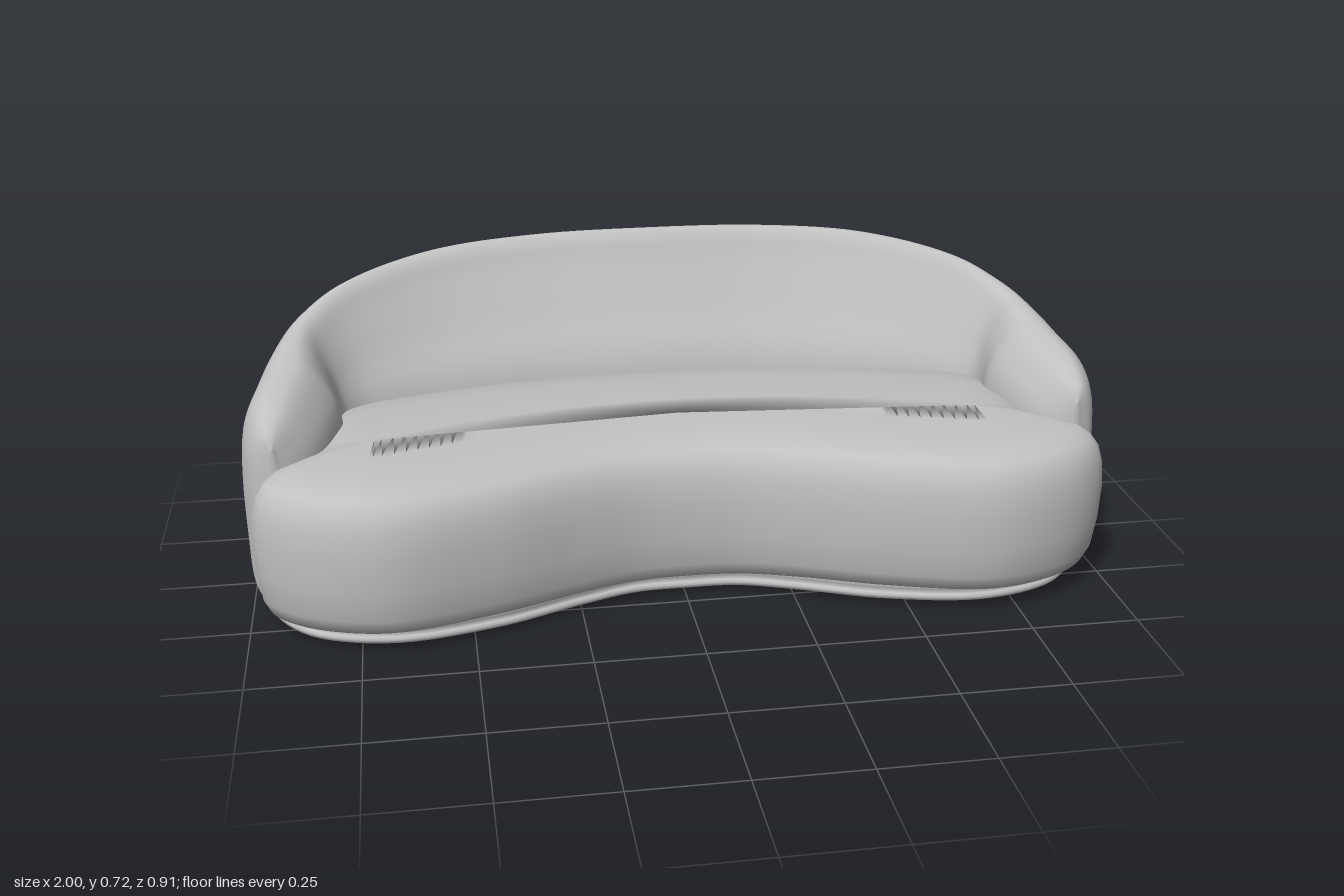
import * as THREE from 'three';

const fabric = new THREE.MeshStandardMaterial({ color: 0xc0c0c0 });
fabric.name = 'light grey fabric';

const V = (x, y, z) => new THREE.Vector3(x, y, z);

// Skin a list of closed rings, cap both ends, and turn all faces outward.
function loft(rings) {
  const n = rings[0].length;
  const pos = [];
  const idx = [];
  for (const ring of rings) for (const p of ring) pos.push(p.x, p.y, p.z);
  for (let r = 0; r < rings.length - 1; r++) {
    for (let i = 0; i < n; i++) {
      const a = r * n + i, b = r * n + (i + 1) % n;
      idx.push(a, b, b + n, a, b + n, a + n);
    }
  }
  [0, rings.length - 1].forEach((r, end) => {
    const c = V(0, 0, 0);
    rings[r].forEach((p) => c.addScaledVector(p, 1 / n));
    const centre = pos.length / 3;
    pos.push(c.x, c.y, c.z);
    for (let i = 0; i < n; i++) {
      const a = r * n + i, b = r * n + (i + 1) % n;
      if (end) idx.push(a, b, centre); else idx.push(b, a, centre);
    }
  });
  // A negative enclosed volume means the winding is inside out
  const at = (i) => V(pos[3 * i], pos[3 * i + 1], pos[3 * i + 2]);
  let volume = 0;
  for (let i = 0; i < idx.length; i += 3) {
    volume += at(idx[i]).dot(at(idx[i + 1]).cross(at(idx[i + 2])));
  }
  if (volume < 0) idx.reverse();
  const g = new THREE.BufferGeometry();
  g.setAttribute('position', new THREE.Float32BufferAttribute(pos, 3));
  g.setIndex(idx);
  g.computeVertexNormals();
  return g;
}

function addPart(group, name, geometry) {
  const mesh = new THREE.Mesh(geometry, fabric);
  mesh.name = name;
  group.add(mesh);
}

// Kidney-shaped solid: half outline [x, z] from front centre to back centre,
// profile rows [height, inset, blend towards the curved spine].
function kidney(half, profile) {
  const mirrored = half.slice(1, -1).reverse().map(([x, z]) => [-x, z]);
  const curve = new THREE.CatmullRomCurve3(
    [...half, ...mirrored].map(([x, z]) => V(x, 0, z)), true);
  const outline = curve.getSpacedPoints(180).slice(0, -1);
  return loft(profile.map(([y, inset, blend = 0]) => outline.map((p) => {
    const sx = THREE.MathUtils.clamp(p.x, -0.7, 0.7);
    const spine = V(sx, 0, 0.3 * sx * sx);
    const dir = spine.clone().sub(p).normalize();
    const q = p.clone().addScaledVector(dir, inset).lerp(spine, blend);
    q.y = y;
    return q;
  })));
}

// Wraparound back: stations of [outer x, outer z, inner x, inner z, top height, arm amount]
function backrest() {
  const half = [
    [0, -0.455, 0, -0.25, 0.72, 0],
    [0.3, -0.453, 0.25, -0.243, 0.715, 0],
    [0.56, -0.405, 0.48, -0.205, 0.70, 0.03],
    [0.78, -0.295, 0.66, -0.155, 0.66, 0.15],
    [0.90, -0.19, 0.75, -0.105, 0.61, 0.5],
    [0.955, -0.07, 0.775, -0.04, 0.577, 0.9],
    [0.982, 0.03, 0.77, 0.02, 0.552, 1],
    [0.997, 0.11, 0.795, 0.11, 0.527, 1],
    [0.988, 0.17, 0.83, 0.18, 0.50, 1],
    [0.965, 0.215, 0.87, 0.22, 0.47, 1],
    [0.925, 0.237, 0.91, 0.237, 0.435, 1],
  ];
  const left = half.slice(1).reverse().map(([a, b, c, d, h, k]) => [-a, b, -c, d, h, k]);
  const stations = [...left, ...half];
  const outer = new THREE.CatmullRomCurve3(stations.map((s) => V(s[0], s[4], s[1])));
  const inner = new THREE.CatmullRomCurve3(stations.map((s) => V(s[2], s[5], s[3])));

  // Cross-sections: u runs from outside to inside, v from bottom to top
  const backSection = [[0.5, 0], [0.12, 0], [0.04, 0.05], [0, 0.3], [0, 0.6], [0.035, 0.82],
    [0.09, 0.93], [0.17, 0.985], [0.26, 1], [0.35, 0.97], [0.44, 0.9], [0.7, 0.72],
    [1, 0.5], [1, 0]];
  const armSection = [[0.5, 0], [0.12, 0], [0.03, 0.05], [0, 0.3], [0, 0.6], [0.05, 0.82],
    [0.15, 0.93], [0.3, 0.99], [0.45, 1], [0.62, 0.98], [0.8, 0.9], [0.95, 0.78],
    [1, 0.62], [1, 0]];
  const smooth = (pts) => new THREE.CatmullRomCurve3(pts.map(([u, v]) => V(u, v, 0))).getPoints(52);
  const back = smooth(backSection), arm = smooth(armSection);

  const rings = [];
  const steps = 160;
  for (let i = 0; i <= steps; i++) {
    const o = outer.getPoint(i / steps), n = inner.getPoint(i / steps);
    const amount = THREE.MathUtils.clamp(n.y, 0, 1);
    rings.push(back.map((b, j) => {
      const s = b.clone().lerp(arm[j], amount);
      return V(
        THREE.MathUtils.lerp(o.x, n.x, s.x),
        0.055 + Math.max(s.y, 0) * (o.y - 0.055),
        THREE.MathUtils.lerp(o.z, n.z, s.x));
    }));
  }
  return loft(rings);
}

export function createModel() {
  const group = new THREE.Group();
  group.name = 'curvedSofa';

  // Low plinth with a shallow groove
  addPart(group, 'plinth', kidney(
    [[0, 0.215], [0.12, 0.22], [0.25, 0.262], [0.45, 0.34], [0.68, 0.377], [0.86, 0.32],
      [0.95, 0.2], [0.965, 0.08], [0.95, -0.06], [0.89, -0.17], [0.77, -0.27], [0.55, -0.37],
      [0.3, -0.412], [0, -0.417]],
    [[0, 0, 1], [0, 0.13], [0.008, 0.025], [0.015, 0.004], [0.025, 0], [0.03, 0.006],
      [0.034, 0.012], [0.042, 0.006], [0.052, 0.006], [0.07, 0.012], [0.07, 0, 1]]));

  // Plump kidney-shaped seat cushion
  addPart(group, 'seatCushion', kidney(
    [[0, 0.275], [0.12, 0.283], [0.25, 0.32], [0.45, 0.395], [0.68, 0.447], [0.85, 0.405],
      [0.945, 0.335], [0.975, 0.28], [0.95, 0.238], [0.89, 0.16], [0.86, 0], [0.78, -0.16],
      [0.5, -0.26], [0.25, -0.3], [0, -0.31]],
    [[0.06, 0, 1], [0.06, 0.06], [0.064, 0.03], [0.1, 0.013], [0.17, 0.003], [0.25, 0],
      [0.31, 0.005], [0.35, 0.017], [0.375, 0.037], [0.39, 0.065], [0.4, 0.07, 0.25],
      [0.407, 0.07, 0.6], [0.41, 0, 1]]));

  // Back and arms in one sweeping shell
  addPart(group, 'backrestWithArms', backrest());
  return group;
}
